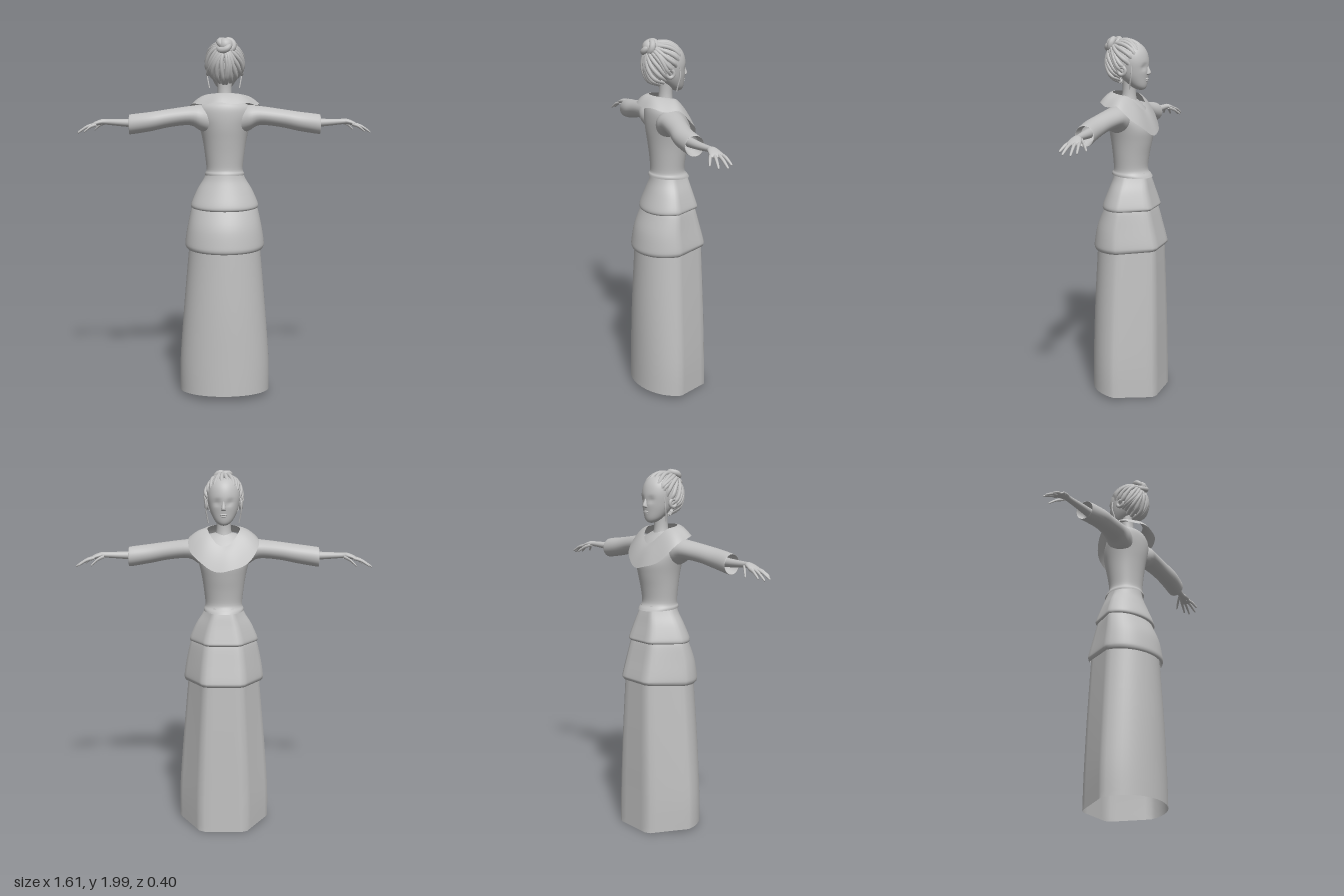
import * as THREE from 'three';

const TAU = Math.PI * 2;

// Insert k smooth steps between neighbouring rows of numbers
function smoothRows(rows, k = 4) {
  const at = (i) => rows[Math.min(Math.max(i, 0), rows.length - 1)];
  const out = [];
  for (let i = 0; i < rows.length - 1; i++) {
    for (let j = 0; j < k; j++) {
      const t = j / k;
      out.push(rows[i].map((b, q) => {
        const a = at(i - 1)[q], c = at(i + 1)[q], d = at(i + 2)[q];
        return b + 0.5 * t * (c - a + t * (2 * a - 5 * b + 4 * c - d + t * (3 * (b - c) + d - a)));
      }));
    }
  }
  out.push(at(rows.length - 1));
  return out;
}

// Closed rings joined into a skin; point(angle, row) returns [x, y, z]
function skin(rows, n, point) {
  const pos = [], index = [];
  rows.forEach((row, v) => {
    for (let u = 0; u < n; u++) {
      pos.push(...point((u / n) * TAU, row));
      if (v === 0) continue;
      const a = (v - 1) * n + u, b = (v - 1) * n + ((u + 1) % n);
      index.push(a, a + n, b, b, a + n, b + n);
    }
  });
  const g = new THREE.BufferGeometry();
  g.setAttribute('position', new THREE.Float32BufferAttribute(pos, 3));
  g.setIndex(index);
  g.computeVertexNormals();
  return g;
}

// Upright loft; rows: [y, half width, back z, front z, hem tilt]
function upright(rows, { panelled = false, k = 4, n = 48 } = {}) {
  return skin(smoothRows(rows, k), n, (a, [y, w, back, front, tilt = 0]) => {
    const c = Math.cos(a), s = Math.sin(a);
    // the panelled section has a flat front and slanted front corners
    const r = panelled && s < 0 ? 1 / Math.max(-s, Math.abs(c) - 0.5 * s) : 1;
    return [c * r * w, y + tilt * s * r, (back + front) / 2 + (s * r * (back - front)) / 2];
  });
}

// Sideways loft; rows: [x, y, z, radius y, radius z]
function sideways(rows, side, n = 20, k = 4) {
  return skin(smoothRows(rows, k), n, (a, [x, y, z, ry, rz]) =>
    [side * x, y + Math.sin(side * a) * ry, z + Math.cos(a) * rz]);
}

export function createModel() {
  const model = new THREE.Group();
  const grey = new THREE.MeshStandardMaterial({ color: 0xc0c0c0, side: THREE.DoubleSide });
  grey.name = 'plain grey';
  const add = (name, geometry, parent = model) => {
    const m = new THREE.Mesh(geometry, grey);
    m.name = name;
    parent.add(m);
    return m;
  };

  // Skirt and its two overlapping tiers
  add('skirt', upright([
    [0.015, 0.252, 0.2, -0.2, 0.015], [0.2, 0.25, 0.197, -0.196, 0.006],
    [0.5, 0.228, 0.19, -0.19, 0], [0.87, 0.195, 0.172, -0.178, 0]], { panelled: true }));
  add('lowerTier', upright([
    [0.832, 0.208, 0.183, -0.183, -0.008], [0.845, 0.217, 0.191, -0.192, -0.008],
    [0.87, 0.219, 0.19, -0.19, -0.004], [0.96, 0.205, 0.172, -0.168, 0],
    [1.06, 0.182, 0.13, -0.142, 0], [1.08, 0.165, 0.12, -0.13, 0]], { panelled: true }));
  add('upperTier', upright([
    [1.056, 0.175, 0.135, -0.146, -0.004], [1.066, 0.186, 0.143, -0.155, -0.004],
    [1.09, 0.183, 0.138, -0.15, -0.002], [1.16, 0.152, 0.11, -0.13, 0],
    [1.215, 0.118, 0.09, -0.115, 0], [1.26, 0.098, 0.08, -0.1, 0]], { panelled: true }));

  // Bodice with a flared waist hem
  add('bodice', upright([
    [1.238, 0.108, 0.096, -0.128, 0.006], [1.25, 0.108, 0.094, -0.12, 0.006],
    [1.275, 0.1, 0.085, -0.1, 0], [1.35, 0.108, 0.09, -0.108, 0],
    [1.43, 0.12, 0.1, -0.124, 0], [1.5, 0.136, 0.11, -0.132, 0],
    [1.56, 0.152, 0.113, -0.105, 0], [1.61, 0.142, 0.108, -0.07, 0],
    [1.64, 0.1, 0.09, -0.045, 0], [1.66, 0.04, 0.045, -0.03, 0]]));

  // Wide cape collar, low in front with a gently waved edge
  const collarRows = [0, 0.15, 0.3, 0.45, 0.6, 0.75, 0.9, 1].map((t) => [t]);
  add('collar', skin(collarRows.reverse(), 72, (a, [t]) => {
    const c = Math.cos(a), s = Math.sin(a), f = Math.max(-s, 0), b = Math.max(s, 0);
    const square = 1 + 0.22 * f * Math.abs(c);
    const inner = [0.088 * c, 1.68 + 0.012 * b - 0.085 * f * f, s > 0 ? 0.092 * s : 0.088 * s];
    const outer = [0.187 * c * square, 1.628 + 0.012 * b * b - 0.16 * f ** 1.4 + 0.005 * Math.cos(7 * a),
      0.005 + (s > 0 ? 0.15 : 0.158) * s];
    return inner.map((p, i) => p + (outer[i] - p) * t + (i === 1 ? 0.05 * t * (1 - t) : 0));
  }));

  // Neck
  add('neck', upright([[1.6, 0.06, 0.07, -0.05], [1.66, 0.042, 0.045, -0.036],
    [1.71, 0.038, 0.038, -0.034], [1.77, 0.042, 0.04, -0.04]], { n: 24 }));

  // Arms: sleeve with open cuff, forearm and hand, fingers
  for (const side of [1, -1]) {
    const arm = new THREE.Group();
    arm.name = side > 0 ? 'leftArm' : 'rightArm';
    model.add(arm);
    add('sleeve', sideways([
      [0.07, 1.54, 0.025, 0.07, 0.06], [0.13, 1.555, 0.025, 0.07, 0.076],
      [0.19, 1.568, 0.028, 0.052, 0.068], [0.3, 1.556, 0.042, 0.049, 0.058],
      [0.4, 1.538, 0.052, 0.052, 0.058], [0.505, 1.523, 0.044, 0.054, 0.053],
      [0.512, 1.522, 0.043, 0.05, 0.049], [0.46, 1.527, 0.045, 0.04, 0.04]], side, 28), arm);
    add('forearmAndHand', sideways([
      [0.46, 1.528, 0.045, 0.025, 0.026], [0.55, 1.53, 0.035, 0.02, 0.022],
      [0.64, 1.534, 0.02, 0.015, 0.018], [0.67, 1.534, 0.015, 0.015, 0.026],
      [0.705, 1.524, 0.012, 0.012, 0.034], [0.724, 1.515, 0.012, 0.008, 0.031],
      [0.73, 1.513, 0.012, 0.001, 0.002]], side), arm);
    const fingers = [
      // start x, y, z, then tip x, y, z
      ['indexFinger', 0.7, 1.522, -0.013, 0.787, 1.484, -0.036],
      ['middleFinger', 0.705, 1.523, 0.004, 0.805, 1.475, -0.01],
      ['ringFinger', 0.705, 1.522, 0.021, 0.798, 1.476, 0.035],
      ['littleFinger', 0.695, 1.52, 0.035, 0.762, 1.483, 0.066],
      ['thumb', 0.65, 1.528, 0.0, 0.716, 1.486, -0.054]];
    for (const [name, x, y, z, tx, ty, tz] of fingers) {
      const row = (t, lift, r) => [x + (tx - x) * t, y + (ty - y) * t + lift, z + (tz - z) * t, r, r];
      add(name, sideways([row(0, 0, 0.009), row(0.45, 0.007, 0.0085), row(0.8, 0.003, 0.0068),
        row(0.96, 0, 0.005), row(1, 0, 0.0004)], side, 10, 3), arm);
    }
  }

  // Head with shallow eye hollows, nose, lips and ears
  const head = new THREE.Group();
  head.name = 'head';
  model.add(head);
  const face = upright([
    [1.704, 0.004, -0.06, -0.068], [1.71, 0.025, -0.035, -0.086], [1.73, 0.048, 0, -0.096],
    [1.77, 0.07, 0.045, -0.101], [1.81, 0.082, 0.07, -0.105], [1.86, 0.088, 0.08, -0.106],
    [1.91, 0.08, 0.08, -0.092], [1.945, 0.05, 0.05, -0.06], [1.955, 0.004, 0.01, -0.01]], { n: 56 });
  const p = face.attributes.position;
  for (let i = 0; i < p.count; i++) {
    if (p.getZ(i) > -0.03) continue;
    const dx = (Math.abs(p.getX(i)) - 0.034) / 0.018, dy = (p.getY(i) - 1.828) / 0.014;
    p.setZ(i, p.getZ(i) + 0.01 * Math.exp(-dx * dx - dy * dy));
  }
  face.computeVertexNormals();
  add('face', face, head);
  const ellipsoid = (name, x, y, z, rx, ry, rz) =>
    add(name, new THREE.SphereGeometry(1, 20, 14).scale(rx, ry, rz).translate(x, y, z), head);
  add('nose', upright([[1.785, 0.004, -0.095, -0.105], [1.79, 0.014, -0.09, -0.117],
    [1.8, 0.012, -0.09, -0.121], [1.825, 0.008, -0.09, -0.11], [1.845, 0.004, -0.09, -0.104]], { n: 16 }), head);
  ellipsoid('upperLip', 0, 1.765, -0.1, 0.019, 0.005, 0.007);
  ellipsoid('lowerLip', 0, 1.756, -0.098, 0.016, 0.005, 0.007);

  // Hair: a cap and strands swept from the hairline to the bun
  const hair = new THREE.Group();
  hair.name = 'hair';
  model.add(hair);
  const tilt = 0.75, size = [0.097, 0.117, 0.107], middle = [0, 1.848, 0.018];
  add('hairCap', new THREE.SphereGeometry(1, 40, 24, 0, TAU, 0, 1.8)
    .rotateX(tilt).scale(...size).translate(...middle), hair);
  const onSkull = (phi, theta, r = 1) => new THREE.Vector3(
    Math.sin(theta) * Math.sin(phi), Math.cos(theta), Math.sin(theta) * Math.cos(phi))
    .applyAxisAngle(new THREE.Vector3(1, 0, 0), tilt).multiplyScalar(r)
    .multiply(new THREE.Vector3(...size)).add(new THREE.Vector3(...middle));
  const strands = 30;
  for (let i = 0; i < strands; i++) {
    const phi = (i / strands) * TAU, nape = Math.max(Math.cos(phi), 0);
    const end = 1.84 + 0.28 * nape + 0.05 * (i % 2);
    const points = [0.25, 0.55, 0.9, 1.25, 1.6, end].map((th, j) =>
      onSkull(phi + 0.12 * Math.sin(th * 2 + i), th, j === 5 ? 0.92 : 1 + 0.025 * (i % 2)));
    add('hairStrand', new THREE.TubeGeometry(new THREE.CatmullRomCurve3(points), 20, 0.0115, 8), hair);
  }
  // Side loops by the ears and loose wisps
  for (const side of [1, -1]) {
    const loop = add('sideLoop', new THREE.TorusGeometry(0.02, 0.01, 8, 20), hair);
    loop.position.set(side * 0.092, 1.81, 0.01);
    loop.rotation.y = Math.PI / 2;
    const wisp = new THREE.CatmullRomCurve3([[0.088, 1.84, -0.045], [0.094, 1.79, -0.045],
      [0.088, 1.745, -0.035], [0.082, 1.715, -0.03]].map(([x, y, z]) => new THREE.Vector3(side * x, y, z)));
    add('wisp', new THREE.TubeGeometry(wisp, 14, 0.004, 6), hair);
  }
  // Twisted bun
  const bun = new THREE.Group();
  bun.name = 'bun';
  bun.position.set(0.002, 1.942, 0.092);
  bun.rotation.x = -0.75;
  hair.add(bun);
  add('bunCore', new THREE.SphereGeometry(0.04, 20, 14), bun);
  add('bunTwist', new THREE.TorusKnotGeometry(0.027, 0.018, 90, 10, 2, 3), bun);

  return model;
}
